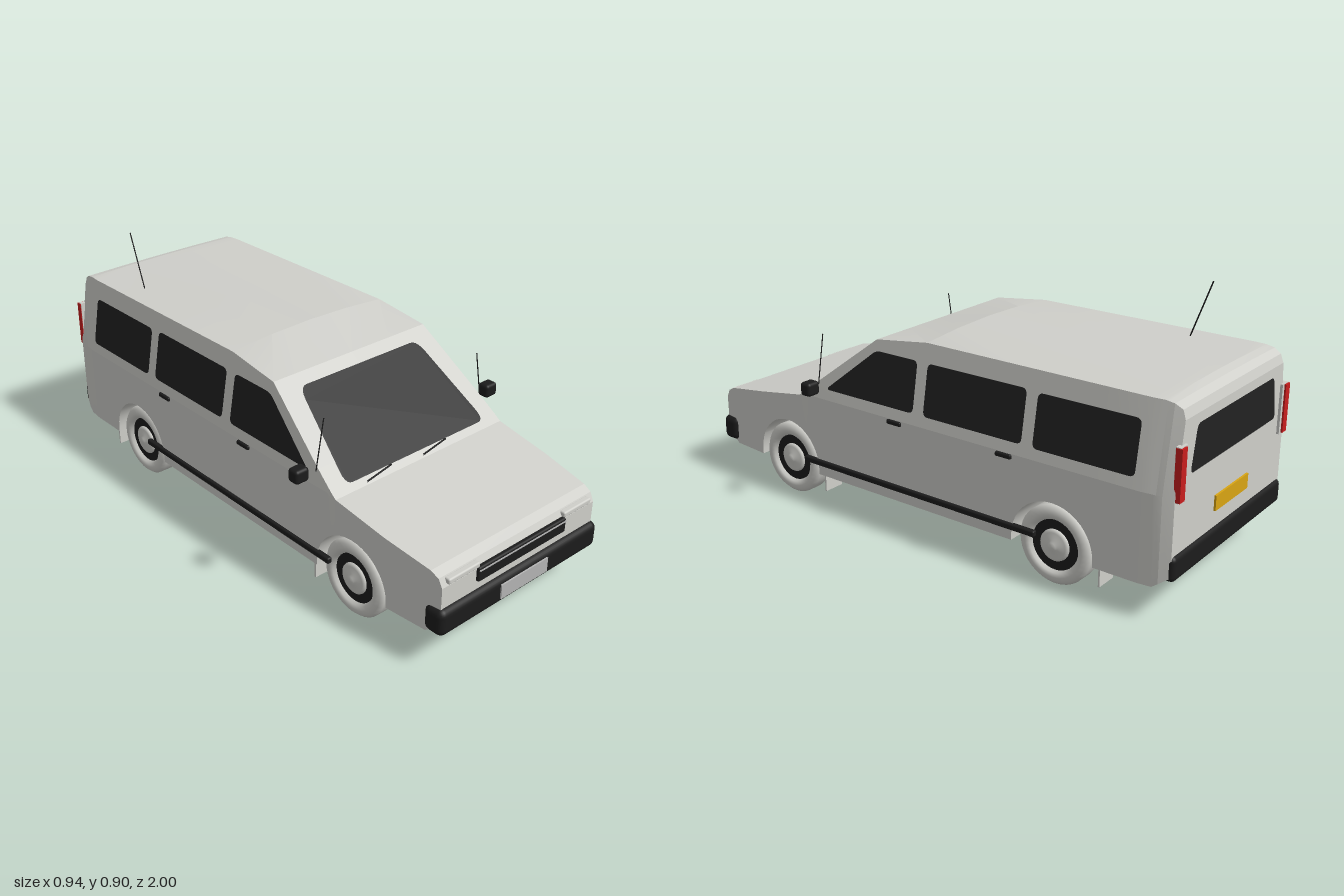
import * as THREE from 'three';
import { toCreasedNormals } from 'three/addons/utils/BufferGeometryUtils.js';
import { RoundedBoxGeometry } from 'three/addons/geometries/RoundedBoxGeometry.js';

const mat = (name, color) => new THREE.MeshStandardMaterial({ name, color });
const ARCH_R = 0.155, WHEEL_Y = 0.14, WHEEL_Z = [0.61, -0.57];

// Body profiles along z
const TOP = [[-0.985, 0.65], [-0.975, 0.68], [-0.95, 0.695], [-0.92, 0.7], [-0.03, 0.703],
  [0.19, 0.675], [0.54, 0.41], [0.93, 0.345], [0.96, 0.33], [0.975, 0.3]];
const CROWN = [[-0.985, 0], [-0.92, 0.006], [-0.03, 0.017], [0.19, 0]];
const BOTTOM = [[-0.985, 0.16], [-0.93, 0.12], [0.92, 0.12], [0.975, 0.16]];
const WIDTH = [[-0.985, 0.95], [-0.95, 0.98], [-0.88, 1], [0.45, 1], [0.75, 0.975], [0.975, 0.92]];

function lerpTable(table, z) {
  if (z <= table[0][0]) return table[0][1];
  for (let i = 1; i < table.length; i++) {
    const [z0, a] = table[i - 1], [z1, b] = table[i];
    if (z <= z1) return a + (b - a) * (z - z0) / (z1 - z0);
  }
  return table[table.length - 1][1];
}
const halfWidth = (y, z) => (0.39 - Math.max(0, y - 0.42) * 0.175) * lerpTable(WIDTH, z);
const screenZ = y => 0.54 - (y - 0.41) * 0.35 / 0.265;

function underside(z) {
  for (const c of WHEEL_Z) {
    const d = Math.abs(z - c);
    if (d <= ARCH_R + 1e-6) return WHEEL_Y + Math.sqrt(Math.max(0, ARCH_R ** 2 - d * d));
  }
  return lerpTable(BOTTOM, z);
}

// Shell lofted through cross-sections, with arch tunnels in its underside
function bodyGeometry() {
  const zs = [TOP, BOTTOM, WIDTH].flatMap(t => t.map(p => p[0])).concat(0.5);
  for (const c of WHEEL_Z) {
    zs.push(c - ARCH_R - 0.0005, c + ARCH_R + 0.0005);
    for (let k = 0; k <= 20; k++) zs.push(c - ARCH_R * Math.cos(Math.PI * k / 20));
  }
  const stations = [...new Set(zs)].sort((a, b) => a - b);
  const rings = stations.map(z => {
    const b = underside(z), t = lerpTable(TOP, z), c = lerpTable(CROWN, z);
    const belt = Math.min(0.42, t - 0.02), w = halfWidth(t, z);
    const right = [[halfWidth(b, z), b], [halfWidth(belt, z), belt], [w, t], [w * 0.5, t + c * 0.75]];
    const left = right.map(([x, y]) => [-x, y]).reverse();
    return [...right, [0, t + c], ...left].map(([x, y]) => [x, y, z]);
  });
  const pos = [], n = rings[0].length;
  const tri = (...p) => p.forEach(v => pos.push(...v));
  for (let s = 0; s < rings.length - 1; s++) {
    for (let i = 0; i < n; i++) {
      const j = (i + 1) % n, A = rings[s], B = rings[s + 1];
      tri(A[i], A[j], B[j]);
      tri(A[i], B[j], B[i]);
    }
  }
  const back = rings[0], front = rings[rings.length - 1];
  for (let i = 1; i < n - 1; i++) {
    tri(front[0], front[i], front[i + 1]);
    tri(back[0], back[i + 1], back[i]);
  }
  const g = new THREE.BufferGeometry();
  g.setAttribute('position', new THREE.Float32BufferAttribute(pos, 3));
  return toCreasedNormals(g, 0.17);
}

// Flat pane with rounded corners, laid on a surface by the rule place(u, v)
function pane(corners, r, place) {
  const p = corners.map(c => new THREE.Vector2(...c)), n = p.length, shape = new THREE.Shape();
  p.forEach((c, i) => {
    const a = c.clone().add(p[(i + n - 1) % n].clone().sub(c).setLength(r));
    const b = c.clone().add(p[(i + 1) % n].clone().sub(c).setLength(r));
    i ? shape.lineTo(a.x, a.y) : shape.moveTo(a.x, a.y);
    shape.quadraticCurveTo(c.x, c.y, b.x, b.y);
  });
  shape.closePath();
  const g = new THREE.ShapeGeometry(shape, 5), q = g.attributes.position;
  for (let i = 0; i < q.count; i++) q.setXYZ(i, ...place(q.getX(i), q.getY(i)));
  g.computeVertexNormals();
  return g;
}

function rod(a, b, r) {
  const A = new THREE.Vector3(...a), B = new THREE.Vector3(...b);
  return new THREE.TubeGeometry(new THREE.LineCurve3(A, B), 1, r, 6);
}
const lathe = pts => new THREE.LatheGeometry(pts.map(p => new THREE.Vector2(...p)), 36);

export function createModel() {
  const model = new THREE.Group();
  model.name = 'van';
  const paint = mat('body paint', 0xcfcfca), trim = mat('black trim', 0x1c1c1c);
  const glass = mat('dark glass', 0x222222), red = mat('red lens', 0xc81e1e);
  const yellow = mat('yellow plate', 0xd9a514), silver = mat('silver plate', 0xb4b4b4);
  glass.side = THREE.DoubleSide;

  const add = (name, geo, material, x = 0, y = 0, z = 0, parent = model) => {
    const m = new THREE.Mesh(geo, material);
    m.name = name;
    m.position.set(x, y, z);
    parent.add(m);
    return m;
  };
  const box = (name, material, w, h, d, x, y, z) =>
    add(name, new THREE.BoxGeometry(w, h, d), material, x, y, z);
  const rounded = (name, material, w, h, d, r, x, y, z) =>
    add(name, new RoundedBoxGeometry(w, h, d, 3, r), material, x, y, z);

  add('bodyShell', bodyGeometry(), paint);

  // Front and rear glass
  add('windscreen', pane([[-0.325, 0.43], [0.325, 0.43], [0.27, 0.648], [-0.27, 0.648]], 0.03,
    (x, y) => [x, y, screenZ(y) + 0.006]), glass);
  add('rearWindow', pane([[-0.29, 0.47], [0.29, 0.47], [0.26, 0.62], [-0.26, 0.62]], 0.02,
    (x, y) => [-x, y, -0.989]), glass);
  for (const x of [-0.25, 0.005]) {
    add('wiper', rod([x, 0.42, screenZ(0.42) + 0.01], [x + 0.12, 0.431, screenZ(0.431) + 0.012], 0.003), trim);
  }

  // Nose
  rounded('frontBumper', trim, 0.75, 0.096, 0.08, 0.025, 0, 0.177, 0.955);
  box('frontPlate', silver, 0.222, 0.052, 0.008, 0, 0.179, 0.996);
  rounded('grille', trim, 0.416, 0.054, 0.024, 0.008, 0, 0.281, 0.974);
  box('grilleStrip', silver, 0.41, 0.005, 0.004, 0, 0.297, 0.986);

  // Tail
  rounded('rearBumper', trim, 0.745, 0.085, 0.055, 0.018, 0, 0.185, -0.969);
  box('rearPlate', yellow, 0.222, 0.052, 0.008, 0, 0.31, -0.988);

  const windows = [
    [[0.405, 0.46], [0, 0.46], [0, 0.638], [0.185, 0.638]],
    [[-0.045, 0.46], [-0.447, 0.46], [-0.447, 0.638], [-0.045, 0.638]],
    [[-0.49, 0.458], [-0.858, 0.458], [-0.858, 0.634], [-0.49, 0.634]],
  ];

  // Everything that repeats on both sides
  for (const s of [1, -1]) {
    for (const w of windows) {
      add('sideWindow', pane(w, 0.02, (z, y) => [s * (halfWidth(y, z) + 0.004), y, z]), glass);
    }
    for (const z of [0.08, -0.383]) rounded('doorHandle', trim, 0.016, 0.016, 0.062, 0.005, s * 0.391, 0.41, z);
    rounded('sideMoulding', trim, 0.02, 0.022, 1.03, 0.006, s * 0.391, 0.17, 0.005);
    rounded('mirror', trim, 0.055, 0.05, 0.046, 0.012, s * 0.4425, 0.475, 0.427);
    add('mirrorRod', rod([s * 0.384, 0.47, 0.443], [s * 0.352, 0.65, 0.443], 0.002), trim);
    rounded('headlampHousing', paint, 0.137, 0.02, 0.024, 0.006, s * 0.268, 0.316, 0.97);
    box('tailLampHousing', paint, 0.042, 0.175, 0.018, s * 0.345, 0.49, -0.985);
    box('tailLamp', red, 0.03, 0.17, 0.022, s * 0.353, 0.49, -0.989);

    for (const z of WHEEL_Z) {
      const wheel = new THREE.Group();
      wheel.name = 'wheel';
      wheel.position.set(s * 0.34, WHEEL_Y, z);
      wheel.rotation.z = -s * Math.PI / 2;
      model.add(wheel);
      add('tyre', lathe([[0, -0.03], [0.09, -0.035], [0.105, -0.04], [0.125, -0.036], [0.136, -0.024],
        [0.136, 0.024], [0.125, 0.036], [0.108, 0.04], [0.094, 0.036], [0.085, 0.02]]), paint, 0, 0, 0, wheel);
      add('wheelDish', new THREE.CylinderGeometry(0.087, 0.087, 0.02, 36), trim, 0, 0.015, 0, wheel);
      add('hubCap', lathe([[0.056, 0.02], [0.054, 0.03], [0.045, 0.035], [0.02, 0.038], [0.014, 0.045],
        [0, 0.046]]), paint, 0, 0, 0, wheel);
      // Mud flap behind each wheel
      box('mudFlap', paint, 0.08, 0.085, 0.006, s * 0.34, 0.097, z - 0.175);
    }
  }

  // Roof aerial
  add('aerial', rod([-0.255, 0.705, -0.682], [-0.255, 0.905, -0.755], 0.0025), trim);
  return model;
}
